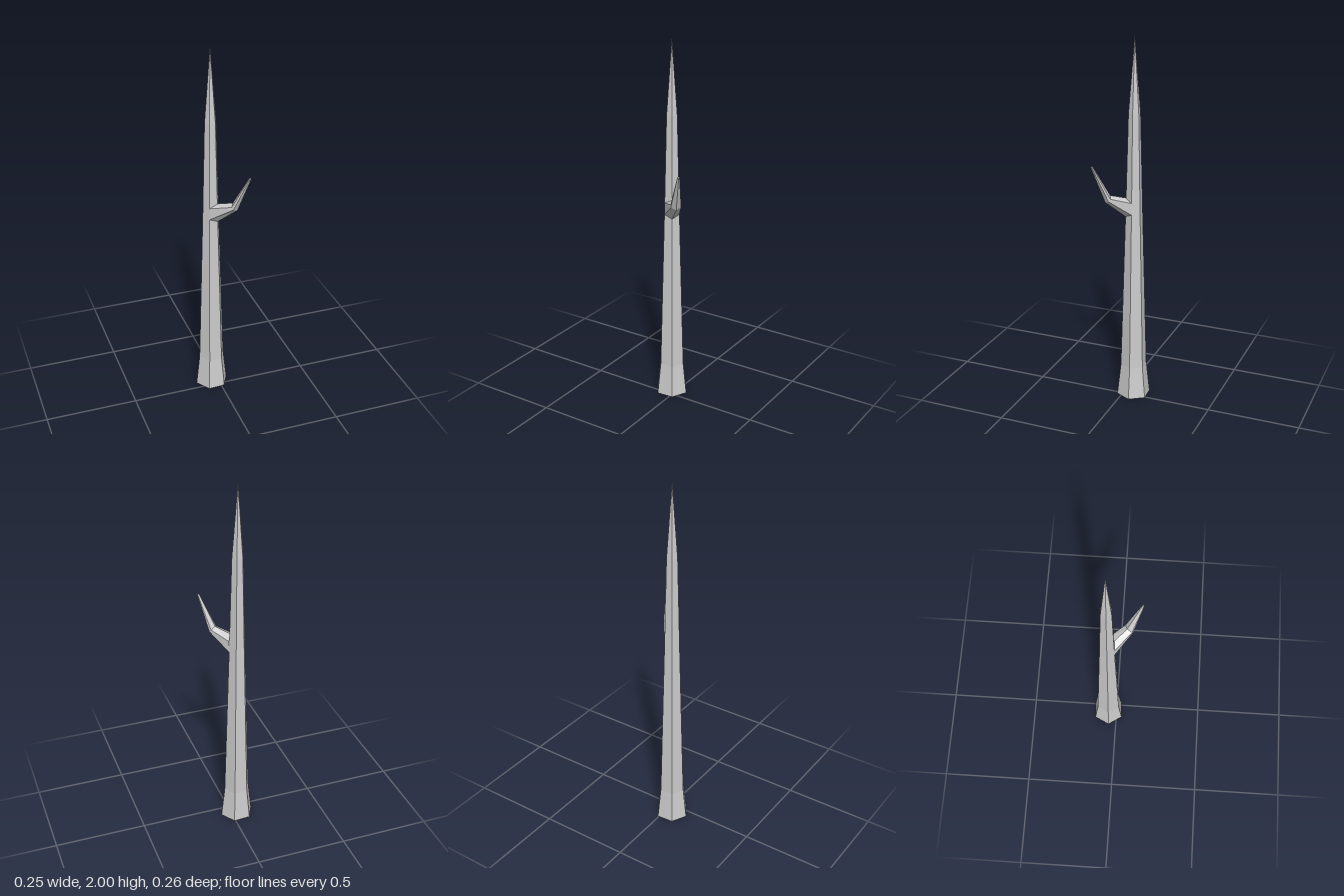
import * as THREE from 'three';

const CX = -0.034, CZ = -0.05; // trunk axis
const material = new THREE.MeshStandardMaterial({ color: 0xcccccc, flatShading: true, side: THREE.DoubleSide });

// Skin a list of equal-sized rings and close the end with a fan to the apex
function loft(name, rings, apex) {
  const points = [];
  const n = rings[0].length;
  for (let i = 0; i < n; i++) {
    const j = (i + 1) % n;
    for (let k = 0; k + 1 < rings.length; k++) {
      const a = rings[k], b = rings[k + 1];
      points.push(a[i], a[j], b[j], a[i], b[j], b[i]);
    }
    const end = rings[rings.length - 1];
    points.push(end[i], end[j], apex);
  }
  const geometry = new THREE.BufferGeometry().setFromPoints(points);
  geometry.computeVertexNormals();
  const mesh = new THREE.Mesh(geometry, material);
  mesh.name = name;
  return mesh;
}

// Corner i of the six-sided trunk
function trunkPoint(i, radius, y) {
  const angle = THREE.MathUtils.degToRad(3.7 + i * 60);
  return new THREE.Vector3(CX + radius * Math.cos(angle), y, CZ - radius * Math.sin(angle));
}

// Branch cross-section: low and high side corners plus a bottom and a top ridge
function branchRing(center, halfWidth, halfHeight, tilt) {
  const out = new THREE.Vector3(0.66, 0, 0.75);
  const side = new THREE.Vector3(0.75, 0, -0.66);
  const up = new THREE.Vector3(0, Math.cos(tilt), 0).addScaledVector(out, -Math.sin(tilt));
  return [[-1, -0.35], [0, -1], [1, -0.35], [1, 0.35], [0, 1], [-1, 0.35]].map(([s, u]) =>
    center.clone().addScaledVector(side, s * halfWidth).addScaledVector(up, u * halfHeight));
}

export function createModel() {
  const group = new THREE.Group();
  group.name = 'bareTree';

  // Trunk: flared foot, long taper, pointed top, open underneath
  const trunkRings = [[0.092, 0], [0.072, 0.18], [0.046, 1.07], [0.032, 1.6]].map(([r, y]) =>
    Array.from({ length: 6 }, (_, i) => trunkPoint(i, r, y)));
  group.add(loft('trunk', trunkRings, new THREE.Vector3(CX, 2, CZ)));

  // Branch: grows from two trunk faces, then bends upward at the elbow
  const base = [[4, 1.065], [5, 1.045], [6, 1.065], [6, 1.13], [5, 1.15], [4, 1.13]].map(([i, y]) =>
    trunkPoint(i, 0.046, y));
  const elbow = branchRing(new THREE.Vector3(0.062, 1.156, 0.06), 0.027, 0.023, 0.65);
  const tip = new THREE.Vector3(0.119, 1.338, 0.125);
  group.add(loft('branch', [base, elbow, branchRing(tip, 0.006, 0.006, 1.1)], tip));

  return group;
}
